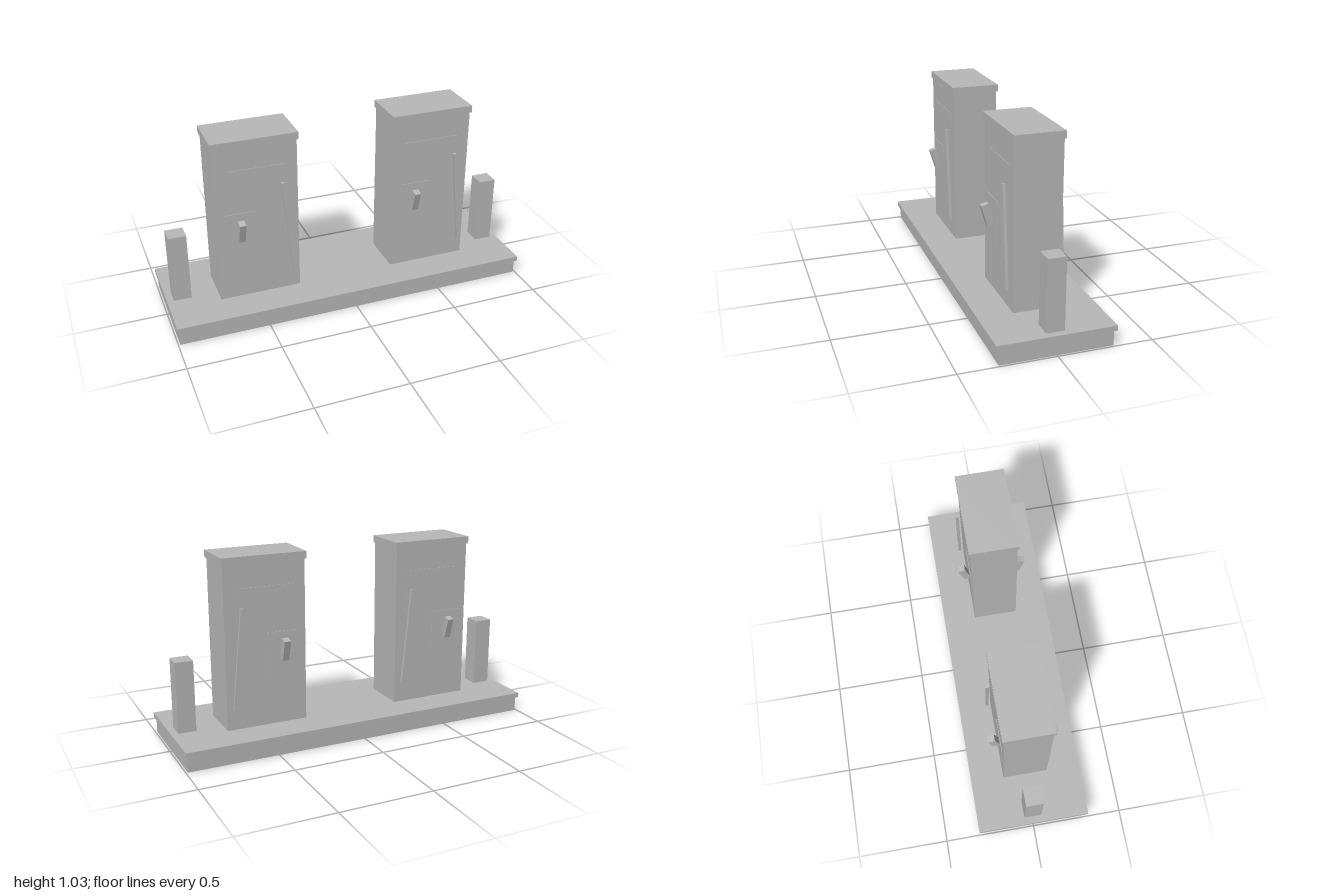
import * as THREE from 'three';

export function createModel() {
  const model = new THREE.Group();
  model.name = 'fuelIsland';
  const grey = new THREE.MeshStandardMaterial({ color: 0xb8b8b8 });
  grey.name = 'plain grey';

  const box = (parent, name, w, h, d, x, y, z) => {
    const mesh = new THREE.Mesh(new THREE.BoxGeometry(w, h, d), grey);
    mesh.name = name;
    mesh.position.set(x, y, z);
    parent.add(mesh);
    return mesh;
  };

  // Raised island with a slightly overhanging slab
  box(model, 'islandBase', 1.98, 0.083, 0.59, 0, 0.0415, 0);
  box(model, 'islandSlab', 2, 0.027, 0.62, 0, 0.0965, 0);

  for (const side of [-1, 1]) {
    // Guard post at each end
    box(model, 'guardPost', 0.097, 0.385, 0.096, side * 0.914, 0.3025, 0);

    // Fuel pump
    const pump = new THREE.Group();
    pump.name = 'pump';
    pump.position.x = side * 0.496;
    model.add(pump);
    box(pump, 'pumpBody', 0.446, 0.878, 0.25, 0, 0.549, 0);
    box(pump, 'pumpCap', 0.463, 0.039, 0.264, 0, 1.0075, 0);

    // Fittings repeated on the front and back faces
    for (const face of [1, -1]) {
      box(pump, 'displayPanel', 0.307, 0.148, 0.006, 0, 0.789, face * 0.125);
      box(pump, 'lowerPanel', 0.178, 0.27, 0.006, -0.097, 0.48, face * 0.125);
      const nozzle = box(pump, 'nozzle', 0.035, 0.115, 0.04, -0.097, 0.523, face * 0.1545);
      nozzle.rotation.x = face * 0.28;
      const hose = box(pump, 'hose', 0.016, 0.54, 0.016, 0.161, 0.495, face * 0.148);
      hose.rotation.z = 0.1;
    }
  }
  return model;
}
